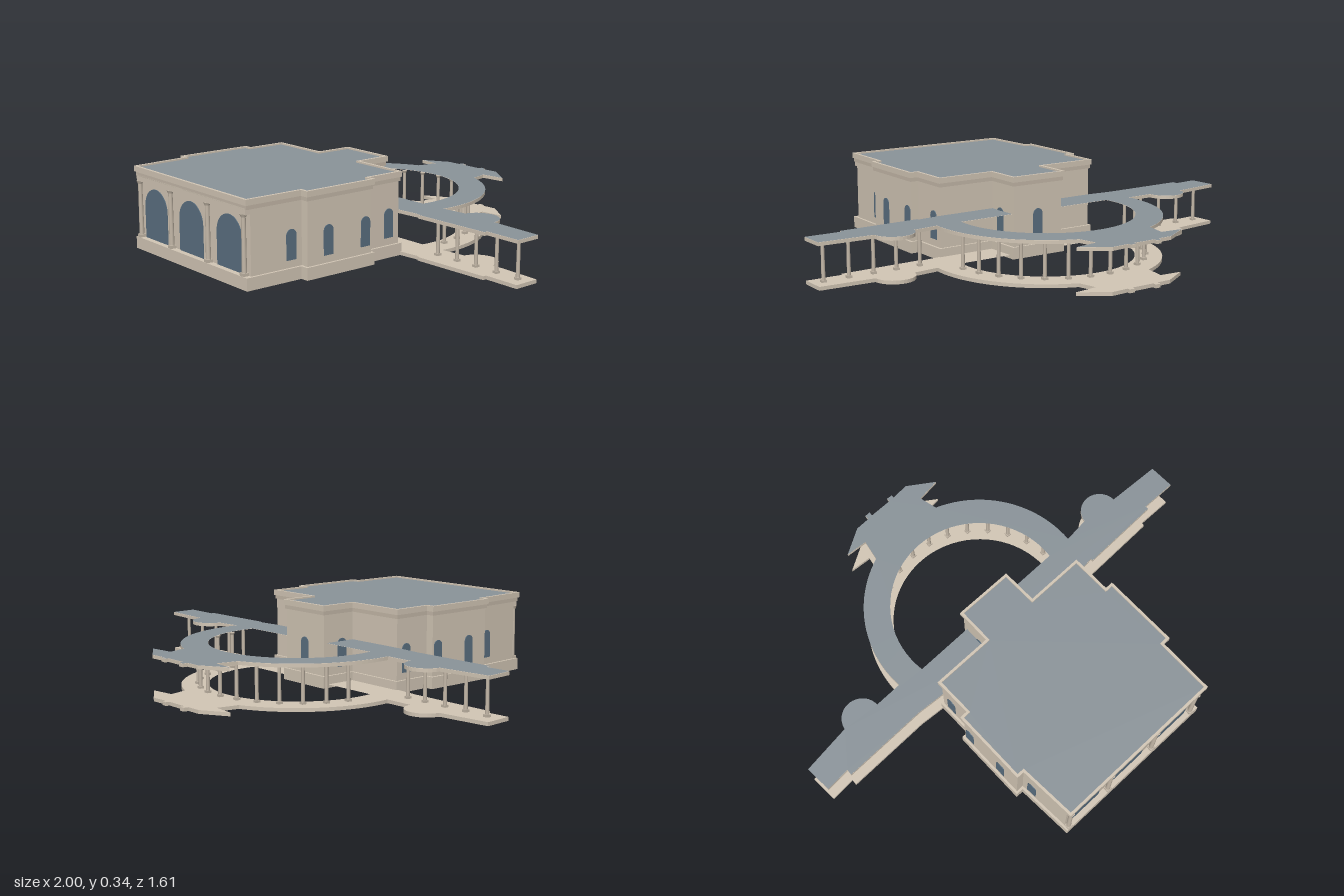
import * as THREE from 'three';

const mat = (color, side = THREE.FrontSide) => new THREE.MeshStandardMaterial({ color, side });
const stone = mat(0xd2c6b5), trim = mat(0xc4b8a8), roofing = mat(0x8a9399, THREE.DoubleSide), glass = mat(0x5a6f80);

// Plan corners of the hall as [x, z], starting at the front and running to +x
const PLAN = [
  [-0.32, 0.797], [0.448, 0.74], [0.433, 0.49], [0.467, 0.487], [0.443, 0.152], [0.408, 0.155],
  [0.395, -0.02], [0.14, 0], [0.127, -0.156], [-0.132, -0.138], [-0.122, 0.02], [-0.387, 0.04],
  [-0.374, 0.21], [-0.408, 0.213], [-0.385, 0.548], [-0.352, 0.546],
];

function edge(i) {
  const a = PLAN[i], b = PLAN[(i + 1) % PLAN.length];
  const dx = b[0] - a[0], dz = b[1] - a[1], l = Math.hypot(dx, dz);
  return { a, dx, dz, out: [-dz / l, dx / l] };
}

// Plan moved inward, with its own distance for the front edge
function inset(d, front = d) {
  const n = PLAN.length;
  return PLAN.map((p, i) => {
    const j = (i + n - 1) % n, e = edge(j), f = edge(i);
    const de = j === 0 ? front : d, df = i === 0 ? front : d;
    const det = e.out[0] * f.out[1] - e.out[1] * f.out[0];
    return [p[0] + (-de * f.out[1] + df * e.out[1]) / det, p[1] + (-df * e.out[0] + de * f.out[0]) / det];
  });
}

const outline = (pts) => new THREE.Shape(pts.map(([x, z]) => new THREE.Vector2(x, -z)));

function add(parent, name, geometry, material) {
  const mesh = new THREE.Mesh(geometry, material);
  mesh.name = name;
  parent.add(mesh);
  return mesh;
}

// Plan shape raised from y0 to y1
function slab(parent, name, shape, y0, y1, material) {
  const g = new THREE.ExtrudeGeometry(shape, { depth: y1 - y0, bevelEnabled: false, curveSegments: 12 });
  return add(parent, name, g.rotateX(-Math.PI / 2).translate(0, y0, 0), material);
}

function sheet(parent, name, shape, y) {
  return add(parent, name, new THREE.ShapeGeometry(shape).rotateX(-Math.PI / 2).translate(0, y, 0), roofing);
}

// Round column with foot and capital
function column(parent, name, x, z, y0, y1, r) {
  const g = new THREE.Group();
  g.name = name;
  g.position.set(x, 0, z);
  const h = y1 - y0, cap = r * 1.2;
  add(g, 'shaft', new THREE.CylinderGeometry(r * 0.85, r, h, 12), trim).position.y = y0 + h / 2;
  add(g, 'foot', new THREE.BoxGeometry(r * 2.5, cap, r * 2.5), trim).position.y = y0 + cap / 2;
  add(g, 'capital', new THREE.CylinderGeometry(r * 1.45, r, cap, 12), trim).position.y = y1 - cap / 2;
  parent.add(g);
}

// Arched pane lying on a wall of the hall
function archPane(parent, name, i, t, depth, w, y0, y1) {
  const r = w / 2, s = new THREE.Shape();
  s.moveTo(-r, y0);
  s.lineTo(r, y0);
  s.lineTo(r, y1 - r);
  s.absarc(0, y1 - r, r, 0, Math.PI, false);
  s.lineTo(-r, y0);
  const { a, dx, dz, out } = edge(i);
  const pane = add(parent, name, new THREE.ExtrudeGeometry(s, { depth: 0.005, bevelEnabled: false, curveSegments: 16 }), glass);
  pane.position.set(a[0] + dx * t - out[0] * (depth + 0.002), 0, a[1] + dz * t - out[1] * (depth + 0.002));
  pane.rotation.y = Math.atan2(out[0], out[1]);
}

function arc(cx, cz, r, from, to, n) {
  return Array.from({ length: n + 1 }, (_, i) => {
    const a = THREE.MathUtils.degToRad(from + (to - from) * i / n);
    return [cx + r * Math.cos(a), cz - r * Math.sin(a)];
  });
}

function createHall() {
  const hall = new THREE.Group();
  hall.name = 'hall';
  const side = 0.01, front = 0.026;
  slab(hall, 'plinth', outline(PLAN), 0, 0.05, stone);
  slab(hall, 'walls', outline(inset(side, front)), 0.05, 0.312, stone);
  slab(hall, 'lowerCornice', outline(inset(0.005)), 0.305, 0.322, trim);
  slab(hall, 'cornice', outline(PLAN), 0.322, 0.335, stone);
  const parapet = outline(PLAN);
  parapet.holes.push(outline(inset(0.011)));
  slab(hall, 'parapet', parapet, 0.335, 0.345, stone);
  sheet(hall, 'hallRoof', outline(inset(0.01)), 0.338);

  // Front arches and columns
  for (const t of [0.157, 0.484, 0.817]) archPane(hall, 'frontArch', 0, t, front, 0.163, 0.05, 0.262);
  const f = edge(0);
  for (const t of [0.026, 0.32, 0.652, 0.955])
    column(hall, 'frontColumn', f.a[0] + f.dx * t - f.out[0] * 0.014, f.a[1] + f.dz * t - f.out[1] * 0.014, 0.05, 0.285, 0.01);
  // Band carried by the front columns
  const band = add(hall, 'frontBeam', new THREE.BoxGeometry(Math.hypot(f.dx, f.dz) - 0.02, 0.025, 0.022), stone);
  band.position.set(f.a[0] + f.dx / 2 - f.out[0] * 0.016, 0.2975, f.a[1] + f.dz / 2 - f.out[1] * 0.016);
  band.rotation.y = Math.atan2(f.out[0], f.out[1]);

  // Side and back windows: wall number, place along it
  const windows = [[1, 0.84], [3, 0.33], [3, 0.88], [5, 0.64], [7, 0.32], [8, 0.5],
    [9, 0.68], [11, 0.36], [13, 0.12], [13, 0.67], [15, 0.16]];
  for (const [i, t] of windows) archPane(hall, 'window', i, t, side, 0.046, 0.08, 0.2);
  return hall;
}

function createArcade() {
  const arcade = new THREE.Group();
  arcade.name = 'arcade';
  const cx = -0.01, cz = -0.173;
  // Wings, bays, ring and back pavilion in one outline
  const shape = outline([
    [-1, -0.043], ...arc(-0.7, -0.08, 0.084, 176, 4, 16),
    ...arc(cx, cz, 0.49, 189, 116, 24),
    [-0.214, -0.706], [-0.31, -0.706], [-0.203, -0.78], [-0.139, -0.786], [-0.139, -0.806], [-0.115, -0.808],
    [-0.115, -0.79], [-0.015, -0.797], [-0.015, -0.813], [0.01, -0.813], [0.01, -0.8], [0.086, -0.81],
    [0.203, -0.743], [0.1, -0.722],
    ...arc(cx, cz, 0.49, 74, -1, 24),
    ...arc(0.674, -0.178, 0.084, 176, 4, 16),
    [0.99, -0.19], [1, -0.08], [0.845, -0.07], [0.845, -0.055], [0.497, -0.02], [0.497, -0.03],
    [0.39, -0.012], [0.13, 0.01], [-0.13, 0.03], [-0.38, 0.05],
    [-0.5, 0.05], [-0.877, 0.085], [-0.877, 0.06], [-0.985, 0.075],
  ]);
  shape.holes.push(outline(arc(cx, cz, 0.377, 192.5, -3, 40)));

  slab(arcade, 'walkway', shape, 0, 0.015, stone);
  slab(arcade, 'canopy', shape, 0.172, 0.186, stone);
  sheet(arcade, 'canopyRoof', shape, 0.187);

  // Columns along both wings, then around the ring
  const post = (x, z) => column(arcade, 'arcadeColumn', x, z, 0.015, 0.172, 0.008);
  for (const x of [-0.938, -0.832, -0.726, -0.62, -0.527, 0.527, 0.634, 0.735, 0.842, 0.95]) post(x, -0.06 - 0.076 * x);
  for (const [x, z] of arc(cx, cz, 0.42, 8.75, 171.25, 13)) post(x, z);
  return arcade;
}

export function createModel() {
  const model = new THREE.Group();
  model.name = 'pavilion';
  model.add(createHall(), createArcade());
  return model;
}
